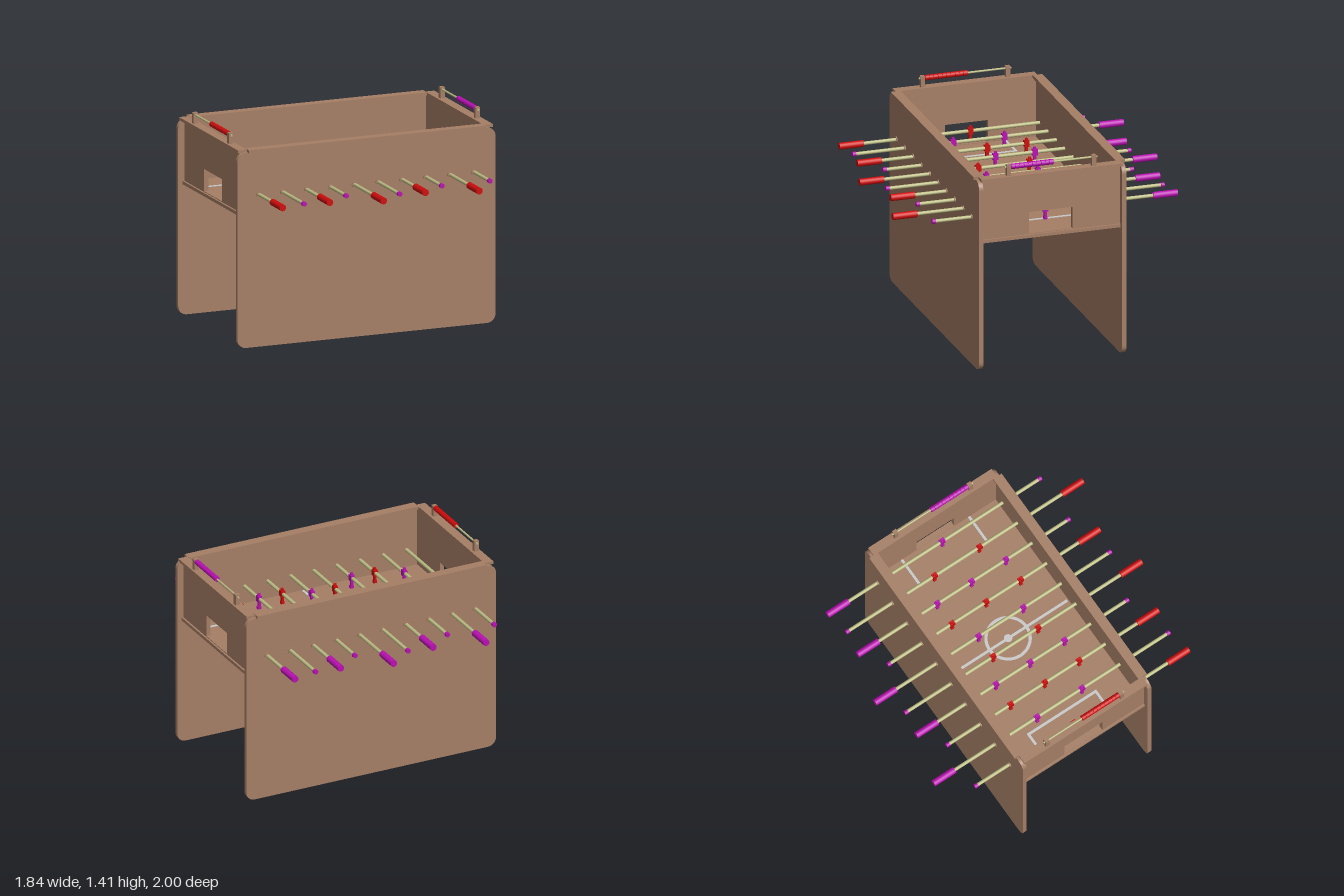
import * as THREE from 'three';

const mat = (name, color, side = THREE.FrontSide) => {
  const m = new THREE.MeshStandardMaterial({ color, side });
  m.name = name;
  return m;
};

export function createModel() {
  const wood = mat('brown wood', 0xa67f66);
  const red = mat('red plastic', 0xd00c0c);
  const magenta = mat('magenta plastic', 0xba10b2);
  const metal = mat('pale rod', 0xbcbc84);
  const paint = mat('field paint', 0xcacaca);

  const model = new THREE.Group();
  model.name = 'tableFootball';

  const add = (parent, name, geo, material, x = 0, y = 0, z = 0) => {
    const mesh = new THREE.Mesh(geo, material);
    mesh.name = name;
    mesh.position.set(x, y, z);
    parent.add(mesh);
    return mesh;
  };
  const box = (parent, name, material, w, h, d, x, y, z) =>
    add(parent, name, new THREE.BoxGeometry(w, h, d), material, x, y, z);
  // Cylinder lying along z from z0 to z1
  const rodZ = (parent, name, material, r, z0, z1, x, y, sides = 16) =>
    add(parent, name, new THREE.CylinderGeometry(r, r, Math.abs(z1 - z0), sides).rotateX(Math.PI / 2),
      material, x, y, (z0 + z1) / 2);

  // Long side panels reaching the ground, with rounded corners
  const W = 0.92, H = 1.32, R = 0.06;
  const panel = new THREE.Shape();
  panel.moveTo(-W + R, 0);
  panel.lineTo(W - R, 0);
  panel.absarc(W - R, R, R, -Math.PI / 2, 0);
  panel.lineTo(W, H - R);
  panel.absarc(W - R, H - R, R, 0, Math.PI / 2);
  panel.lineTo(-W + R, H);
  panel.absarc(-W + R, H - R, R, Math.PI / 2, Math.PI);
  panel.lineTo(-W, R);
  panel.absarc(-W + R, R, R, Math.PI, Math.PI * 1.5);
  const panelGeo = new THREE.ExtrudeGeometry(panel, { depth: 0.03, bevelEnabled: false, curveSegments: 8 });
  add(model, 'frontPanel', panelGeo, wood, 0, 0, 0.48);
  add(model, 'backPanel', panelGeo, wood, 0, 0, -0.51);

  // End walls with a goal opening
  const wall = new THREE.Shape();
  wall.moveTo(-0.48, 0.9).lineTo(0.48, 0.9).lineTo(0.48, 1.318).lineTo(-0.48, 1.318).closePath();
  const goal = new THREE.Path();
  goal.moveTo(-0.15, 0.91).lineTo(-0.15, 1.06).lineTo(0.15, 1.06).lineTo(0.15, 0.91).closePath();
  wall.holes.push(goal);
  const wallGeo = new THREE.ExtrudeGeometry(wall, { depth: 0.03, bevelEnabled: false })
    .translate(0, 0, -0.015).rotateY(Math.PI / 2);

  // Playing field
  box(model, 'floor', wood, 1.78, 0.022, 0.96, 0, 0.894, 0);

  for (const s of [-1, 1]) {
    const side = s < 0 ? 'right' : 'left';
    add(model, side + 'EndWall', wallGeo, wood, s * 0.862, 0, 0);
    box(model, side + 'EndRail', wood, 0.065, 0.02, 0.98, s * 0.8775, 1.326, 0);
    box(model, s > 0 ? 'frontRail' : 'backRail', wood, 1.69, 0.022, 0.067, 0, 1.327, s * 0.4915);

    // Score counter: two posts, a thin rod and ten beads
    const counter = new THREE.Group();
    counter.name = side + 'ScoreCounter';
    model.add(counter);
    const x = s * 0.88;
    for (const z of [-0.295, 0.295]) box(counter, 'post', wood, 0.032, 0.075, 0.03, x, 1.3725, z);
    rodZ(counter, 'counterRod', metal, 0.007, -0.32, 0.32, x, 1.395, 10);
    for (let i = 0; i < 10; i++) {
      const z = -0.015 + i * 0.0295;
      rodZ(counter, 'bead', s < 0 ? red : magenta, 0.018, z, z + 0.0275, x, 1.395);
    }

    // Goal area lines
    const y = 0.907;
    for (const z of [-0.267, 0.267]) box(model, 'goalAreaSide', paint, 0.222, 0.004, 0.018, s * 0.735, y, z);
    box(model, 'goalAreaFront', paint, 0.018, 0.004, 0.552, s * 0.629, y, 0);
  }

  // Centre markings
  box(model, 'centreLine', paint, 0.018, 0.004, 0.94, 0, 0.907, 0);
  add(model, 'centreCircle', new THREE.RingGeometry(0.135, 0.156, 40).rotateX(-Math.PI / 2), paint, 0, 0.91, 0);
  add(model, 'centreSpot', new THREE.CircleGeometry(0.028, 24).rotateX(-Math.PI / 2), paint, 0, 0.9105, 0);

  // One player hanging on a rod, feet down
  const rodY = 1.03;
  const addPlayer = (parent, material, x, z) => {
    const p = new THREE.Group();
    p.name = 'player';
    p.position.set(x, rodY, z);
    parent.add(p);
    box(p, 'torso', material, 0.028, 0.042, 0.036, 0, 0, 0);
    add(p, 'head', new THREE.CylinderGeometry(0.01, 0.011, 0.016, 10), material, 0, 0.028, 0);
    box(p, 'legs', material, 0.016, 0.04, 0.02, 0, -0.038, 0);
    box(p, 'feet', material, 0.024, 0.018, 0.022, 0, -0.065, 0);
  };

  // Rods: [handle outer end, far cap end, player positions]
  const one = [0], two = [-0.178, 0.178], three = [-0.272, 0, 0.272];
  const rods = [
    [0.91, 0.79, one], [1, 0.875, two], [0.9, 0.782, three], [0.905, 0.78, three], [1, 0.88, two],
    [1, 0.875, two], [0.9, 0.782, three], [0.905, 0.78, three], [1, 0.88, two], [0.912, 0.785, one],
  ];
  rods.forEach(([handleEnd, capEnd, players], i) => {
    const team = i % 2 ? magenta : red;
    const s = i % 2 ? -1 : 1; // handle towards +z for red, -z for magenta
    const x = -0.768 + i * 0.1705;
    const g = new THREE.Group();
    g.name = 'playerRod';
    model.add(g);
    rodZ(g, 'rod', metal, 0.012, s * (handleEnd - 0.02), -s * (capEnd - 0.01), x, rodY);
    rodZ(g, 'handle', team, 0.023, s * handleEnd, s * (handleEnd - 0.167), x, rodY);
    rodZ(g, 'endCap', magenta, 0.016, -s * capEnd, -s * (capEnd - 0.024), x, rodY);
    for (const e of [-1, 1]) rodZ(g, 'bushing', wood, 0.02, e * 0.505, e * 0.517, x, rodY);
    for (const z of players) addPlayer(g, team, x, z);
  });

  return model;
}
